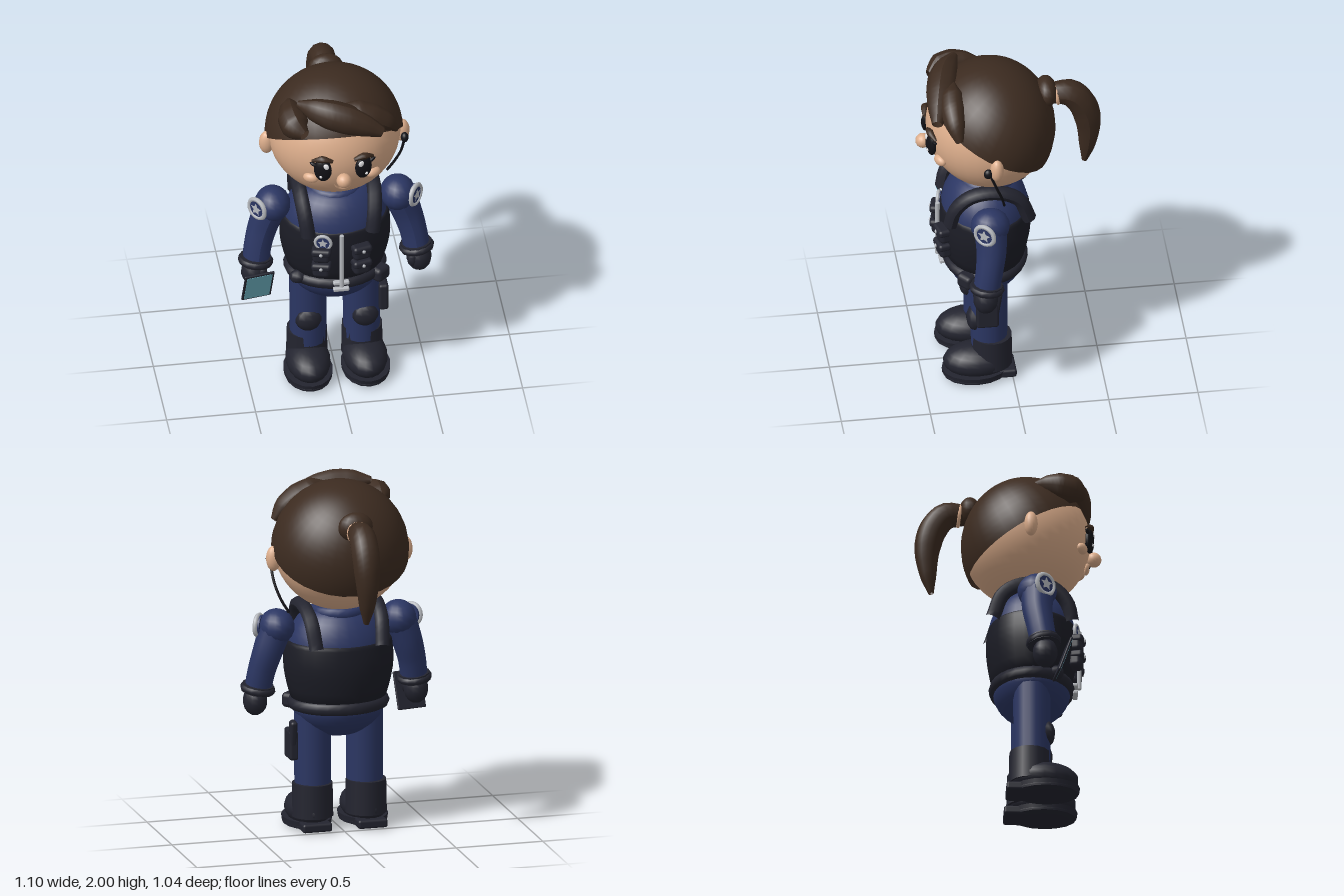
import * as THREE from 'three';
import { RoundedBoxGeometry } from 'three/addons/geometries/RoundedBoxGeometry.js';

const V = (p) => new THREE.Vector3(...p);
const paint = (name, color, side = THREE.FrontSide) => {
  const m = new THREE.MeshStandardMaterial({ color, side });
  m.name = name;
  return m;
};

export function createModel() {
  const root = new THREE.Group();
  root.name = 'officer';
  const skin = paint('skin', 0xddae8c);
  const hair = paint('brown hair', 0x3c2b20, THREE.DoubleSide);
  const navy = paint('navy cloth', 0x2b3663);
  const vestMat = paint('vest black', 0x1b1c25);
  const gear = paint('dark gear', 0x23242f);
  const silver = paint('silver', 0xb8bbc0, THREE.DoubleSide);
  const black = paint('eye black', 0x121217);
  const white = paint('white', 0xe8e8ea);
  const teal = paint('screen teal', 0x6fb2c2);

  const add = (name, geo, mat, pos = [0, 0, 0], rot = [0, 0, 0], parent = root) => {
    const m = new THREE.Mesh(geo, mat);
    m.name = name;
    m.position.set(...pos);
    m.rotation.set(...rot);
    parent.add(m);
    return m;
  };
  const ball = (name, mat, pos, r, rot, seg = 16) =>
    add(name, new THREE.SphereGeometry(1, seg, Math.ceil(seg * 0.7)).scale(...r), mat, pos, rot);
  const box = (name, mat, pos, s, r = 0.01, rot) =>
    add(name, new RoundedBoxGeometry(...s, 2, r), mat, pos, rot);
  // Tube whose radius follows a list along the path
  const sweep = (name, mat, pts, radii, sides = 10, n = 16) => {
    const curve = new THREE.CatmullRomCurve3(pts.map(V));
    const geo = new THREE.TubeGeometry(curve, n, 1, sides);
    const p = geo.attributes.position;
    const v = new THREE.Vector3();
    for (let i = 0; i <= n; i++) {
      const c = curve.getPointAt(i / n);
      const t = (i / n) * (radii.length - 1);
      const k = Math.min(Math.floor(t), radii.length - 2);
      const r = THREE.MathUtils.lerp(radii[k], radii[k + 1], t - k);
      for (let j = 0; j <= sides; j++) {
        const id = i * (sides + 1) + j;
        v.fromBufferAttribute(p, id).sub(c).multiplyScalar(r).add(c);
        p.setXYZ(id, v.x, v.y, v.z);
      }
    }
    geo.computeVertexNormals();
    return add(name, geo, mat);
  };
  // Body shells: round profile flattened front to back
  const shell = (name, mat, pts, depth) =>
    add(name, new THREE.LatheGeometry(new THREE.SplineCurve(pts.map((q) => new THREE.Vector2(...q)))
      .getPoints(14), 28).scale(1, 1, depth), mat, [0, 0, 0.13]);
  // Round emblem with ring and plain star
  const emblem = (name, pos, r, yaw) => {
    const g = new THREE.Group();
    g.name = name;
    g.position.set(...pos);
    g.rotation.y = yaw;
    root.add(g);
    add('emblemDisc', new THREE.CylinderGeometry(r, r, 0.03, 20).rotateX(Math.PI / 2), navy, [0, 0, 0], [0, 0, 0], g);
    add('emblemRing', new THREE.TorusGeometry(r, r * 0.24, 6, 20), silver, [0, 0, 0.008], [0, 0, 0], g);
    const star = new THREE.Shape(Array.from({ length: 10 }, (_, i) => {
      const q = r * (i % 2 ? 0.34 : 0.7), a = Math.PI / 2 + (i * Math.PI) / 5;
      return new THREE.Vector2(q * Math.cos(a), q * Math.sin(a));
    }));
    add('emblemStar', new THREE.ShapeGeometry(star), silver, [0, 0, 0.019], [0, 0, 0], g);
  };

  // Head and hair cap
  ball('head', skin, [0, 1.625, 0.1], [0.37, 0.358, 0.358], undefined, 36);
  add('hairCap', new THREE.SphereGeometry(1, 32, 14, 0, Math.PI * 2, 0, Math.PI / 2)
    .rotateX(-0.5).scale(0.387, 0.397, 0.364), hair, [0, 1.602, 0.1]);
  sweep('rightFringe', hair, [[-0.255, 1.87, 0.12], [-0.265, 1.86, 0.25], [-0.25, 1.84, 0.35], [-0.21, 1.825, 0.41]],
    [0.01, 0.055, 0.08, 0.08, 0.03]);
  sweep('sweptFringe', hair, [[-0.23, 1.94, 0.27], [-0.1, 1.92, 0.34], [0.08, 1.87, 0.39], [0.225, 1.81, 0.425]],
    [0.02, 0.065, 0.085, 0.085, 0.065, 0.03]);
  sweep('leftFringe', hair, [[0.0, 1.93, 0.31], [0.14, 1.88, 0.33], [0.26, 1.81, 0.325], [0.32, 1.74, 0.31]],
    [0.01, 0.065, 0.07, 0.055, 0.02]);

  // Ponytail
  ball('ponytailBase', hair, [0, 1.81, -0.215], [0.1, 0.085, 0.062]);
  add('hairTie', new THREE.TorusGeometry(0.056, 0.012, 8, 16), skin, [0, 1.79, -0.272], [0.15, 0, 0]);
  sweep('ponytail', hair, [[0, 1.795, -0.25], [0, 1.785, -0.35], [0, 1.7, -0.42], [0, 1.57, -0.452], [0, 1.43, -0.447], [0, 1.31, -0.43]],
    [0.06, 0.077, 0.08, 0.075, 0.062, 0.045, 0.015], 12, 20);

  // Face
  ball('nose', skin, [0, 1.535, 0.476], [0.042, 0.042, 0.042]);
  add('mouth', new THREE.TorusGeometry(0.036, 0.012, 8, 14, Math.PI), skin, [0, 1.49, 0.442], [0.3, 0, Math.PI]);
  for (const s of [-1, 1]) {
    ball('ear', skin, [s * 0.38, 1.575, 0.11], [0.043, 0.072, 0.038]);
    ball('cheek', skin, [s * 0.175, 1.522, 0.402], [0.045, 0.03, 0.028], [0, s * 0.45, 0]);
    ball('eye', black, [s * 0.114, 1.598, 0.445], [0.05, 0.074, 0.026], [0, s * 0.3, 0], 20);
    ball('eyeHighlight', white, [s * 0.1, 1.632, 0.467], [0.018, 0.02, 0.008], [0, s * 0.3, 0], 10);
    ball('eyeGlint', white, [s * 0.128, 1.566, 0.465], [0.009, 0.009, 0.008], undefined, 8);
    ball('eyelash', black, [s * 0.163, 1.633, 0.433], [0.026, 0.011, 0.01], [0, s * 0.4, s * 0.4], 8);
    sweep('eyebrow', hair, [[s * 0.06, 1.66, 0.458], [s * 0.115, 1.676, 0.452], [s * 0.172, 1.655, 0.426]],
      [0.01, 0.021, 0.008], 8, 8);
  }

  // Earpiece and wire
  ball('earpiece', black, [0.388, 1.56, 0.16], [0.022, 0.03, 0.026]);
  sweep('earpieceWire', black, [[0.39, 1.55, 0.15], [0.376, 1.43, 0.105], [0.345, 1.34, 0.075], [0.305, 1.27, 0.06]],
    [0.008, 0.008], 6);

  // Shirt, vest, belt and pelvis
  shell('shirt', navy, [[0.27, 0.8], [0.292, 1.0], [0.28, 1.12], [0.225, 1.22], [0.14, 1.275], [0.01, 1.285]], 0.84);
  add('collar', new THREE.TorusGeometry(0.125, 0.035, 8, 20).rotateX(Math.PI / 2), navy, [0, 1.257, 0.115]);
  shell('vest', vestMat, [[0.1, 0.71], [0.25, 0.735], [0.295, 0.85], [0.311, 0.96], [0.305, 1.05], [0.296, 1.088], [0.27, 1.09]], 0.82);
  add('belt', new THREE.TorusGeometry(0.252, 0.037, 8, 28).rotateX(Math.PI / 2).scale(1, 1, 0.83), gear, [0, 0.725, 0.13]);
  shell('pelvis', navy, [[0.001, 0.527], [0.12, 0.55], [0.22, 0.62], [0.26, 0.71], [0.2, 0.76]], 0.83);
  add('zipper', new THREE.CylinderGeometry(0.013, 0.013, 0.35, 8), silver, [0, 0.915, 0.394]);
  for (const y of [0.706, 0.75]) box('buckleBar', silver, [0, y, 0.372], [0.09, 0.024, 0.03], 0.008);
  box('beltPouch', gear, [0.235, 0.715, 0.26], [0.1, 0.085, 0.08], 0.025, [0, 0.7, 0]);
  ball('beltHook', gear, [-0.225, 0.735, 0.26], [0.05, 0.04, 0.04], undefined, 10);
  emblem('chestBadge', [-0.1, 1.04, 0.368], 0.043, -0.3);

  // Holster on the left thigh
  box('holster', gear, [0.265, 0.49, 0.148], [0.055, 0.17, 0.125], 0.016);
  box('holsterGrip', gear, [0.27, 0.56, 0.105], [0.04, 0.15, 0.06], 0.016, [-0.15, 0, 0]);

  for (const s of [-1, 1]) {
    // Shoulder strap
    sweep('shoulderStrap', gear, [[s * 0.18, 1.07, 0.345], [s * 0.195, 1.18, 0.318], [s * 0.207, 1.27, 0.23], [s * 0.208, 1.285, 0.08],
      [s * 0.203, 1.225, -0.035], [s * 0.19, 1.08, -0.095]], [0.041, 0.041], 8, 20);

    // Vest pouches
    for (const y of [0.958, 0.86]) {
      box('pouch', gear, [s * 0.11, y, 0.372], [0.1, 0.09, 0.075], 0.025, [0, s * 0.25, 0]);
      box('pouchFlap', gear, [s * 0.112, y + 0.028, 0.382], [0.112, 0.045, 0.075], 0.018, [0, s * 0.25, 0]);
      ball('pouchSnap', silver, [s * 0.121, y + 0.025, 0.419], [0.011, 0.011, 0.008], undefined, 8);
    }

    // Arm, cuff and glove
    ball('shoulder', navy, [s * 0.352, 1.172, 0.145], [0.1, 0.1, 0.11]);
    sweep('sleeve', navy, [[s * 0.36, 1.16, 0.145], [s * 0.405, 1.03, 0.145], [s * 0.435, 0.92, 0.16], [s * 0.452, 0.81, 0.178]],
      [0.092, 0.085, 0.078, 0.075], 14);
    add('gloveCuff', new THREE.CylinderGeometry(0.088, 0.092, 0.045, 12), gear, [s * 0.452, 0.818, 0.177], [-0.12, 0, s * 0.12]);
    add('gloveCuffRoll', new THREE.TorusGeometry(0.078, 0.022, 8, 14).rotateX(Math.PI / 2), gear, [s * 0.452, 0.815, 0.177], [-0.12, 0, s * 0.12]);
    ball('gloveHand', gear, [s * 0.465, 0.745, 0.185], [0.07, 0.085, 0.07], undefined, 12);
    ball('gloveThumb', gear, [s * 0.42, 0.755, 0.225], [0.027, 0.045, 0.027], undefined, 8);
    emblem('sleevePatch', [s * 0.438, 1.175, 0.182], 0.058, s * 0.92);

    // Leg and knee pad
    add('trouserLeg', new THREE.CylinderGeometry(0.105, 0.102, 0.46, 18), navy, [s * 0.15, 0.44, 0.125]);
    ball('kneePad', gear, [s * 0.16, 0.39, 0.212], [0.074, 0.07, 0.042], undefined, 10);

    // Boot
    add('bootShaft', new THREE.CylinderGeometry(0.113, 0.117, 0.19, 16), gear, [s * 0.155, 0.175, 0.112]);
    ball('bootFoot', gear, [s * 0.16, 0.105, 0.19], [0.125, 0.098, 0.195], undefined, 18);
    add('bootSole', new THREE.CylinderGeometry(0.138, 0.132, 0.04, 16).scale(1, 1, 1.36), gear, [s * 0.162, 0.037, 0.205]);
    ball('bootSoleBase', gear, [s * 0.162, 0.03, 0.205], [0.135, 0.03, 0.185], undefined, 16);
    box('bootHeel', gear, [s * 0.16, 0.035, 0.045], [0.17, 0.05, 0.13], 0.014);
  }

  // Tablet held in the right hand, leaning forward
  const tablet = new THREE.Group();
  tablet.name = 'tablet';
  tablet.position.set(-0.455, 0.712, 0.283);
  tablet.rotation.set(0.33, 0.17, 0, 'YXZ');
  root.add(tablet);
  add('tabletCase', new RoundedBoxGeometry(0.172, 0.218, 0.014, 2, 0.006), gear, [0, 0, 0], [0, 0, 0], tablet);
  add('tabletScreen', new THREE.BoxGeometry(0.148, 0.194, 0.004), teal, [0, 0, 0.007], [0, 0, 0], tablet);

  return root;
}
